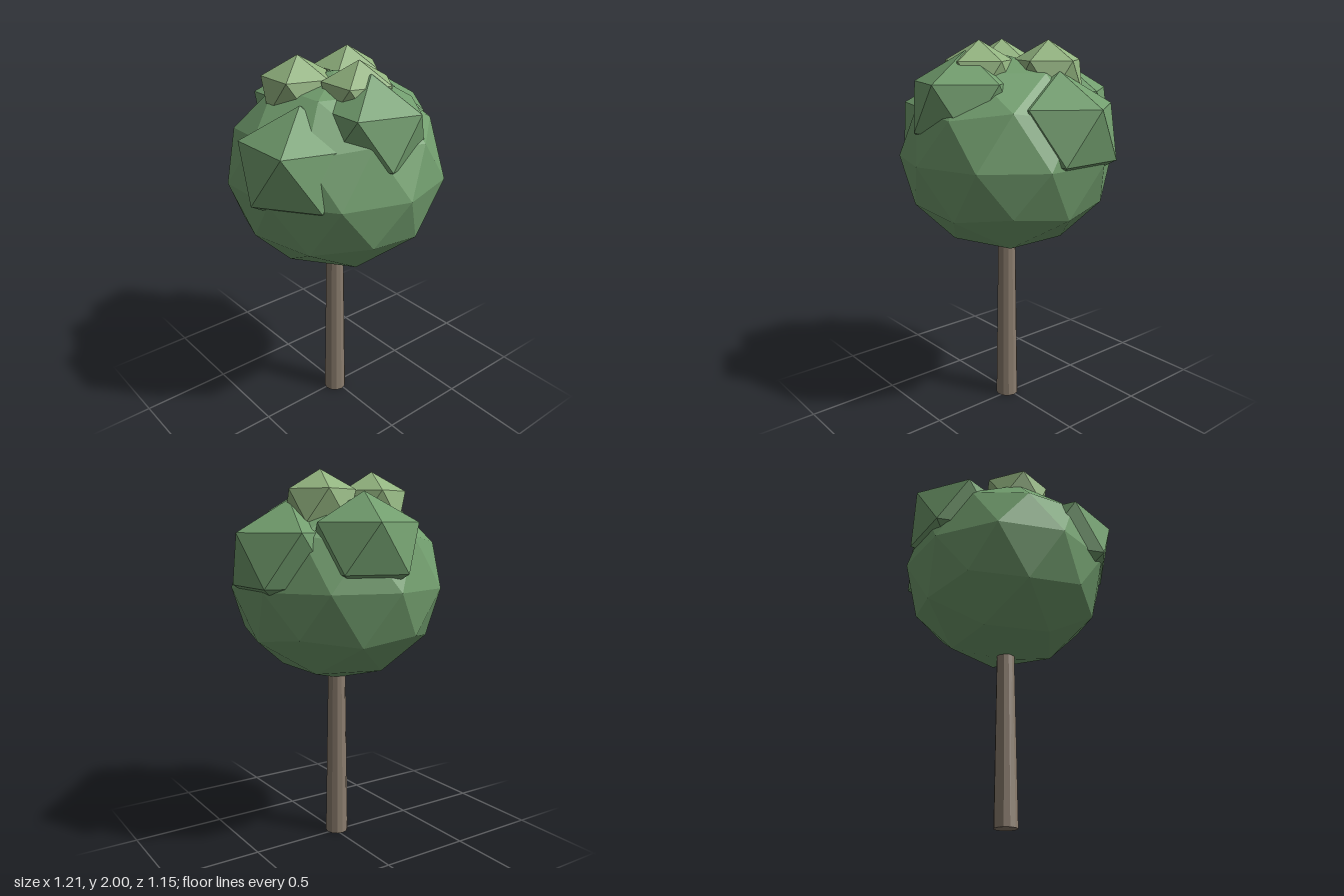
import * as THREE from 'three';

const FLATTEN = 0.9; // foliage is slightly squashed vertically

// Icosahedron standing on a point: two poles and two staggered rings of five
function uprightIcosphere(radius, detail) {
  const h = Math.sqrt(0.2), r = 2 * h;
  const verts = [0, 1, 0];
  for (const [y, offset] of [[h, 0], [-h, 0.5]]) {
    for (let k = 0; k < 5; k++) {
      const a = (k + offset) * Math.PI * 2 / 5;
      verts.push(r * Math.cos(a), y, r * Math.sin(a));
    }
  }
  verts.push(0, -1, 0);
  const faces = [];
  for (let k = 0; k < 5; k++) {
    const n = (k + 1) % 5;
    const u = 1 + k, uNext = 1 + n, l = 6 + k, lNext = 6 + n;
    faces.push(0, uNext, u, u, uNext, l, l, uNext, lNext, 11, l, lNext);
  }
  const geo = new THREE.PolyhedronGeometry(verts, faces, radius, detail);
  geo.scale(1, FLATTEN, 1);
  geo.computeVertexNormals();
  return geo;
}

export function createModel() {
  const tree = new THREE.Group();
  tree.name = 'tree';
  const material = (color) => new THREE.MeshStandardMaterial({ color, flatShading: true });
  const leaf = material(0x729e6e);
  const lightLeaf = material(0x93b480);
  const bark = material(0x8b7d6e);

  const add = (name, geometry, mat, x, y, z) => {
    const mesh = new THREE.Mesh(geometry, mat);
    mesh.name = name;
    mesh.position.set(x, y, z);
    tree.add(mesh);
  };

  // Tapered trunk, its top hidden inside the crown
  add('trunk', new THREE.CylinderGeometry(0.047, 0.062, 1, 12), bark, -0.015, 0.5, 0.01);

  // Main rounded crown
  add('crown', uprightIcosphere(0.567, 1), leaf, -0.015, 1.41, 0.01);

  // Large leaf clumps around the upper crown: name, radius, centre
  const clumps = [
    ['leftClump', 0.326, 0.312, 1.56, -0.055],
    ['rightClump', 0.326, -0.317, 1.53, 0.125],
    ['backClump', 0.3, 0.045, 1.62, -0.32],
    ['frontClump', 0.3, -0.015, 1.68, 0.275],
  ];
  for (const [name, r, x, y, z] of clumps) add(name, uprightIcosphere(r, 0), leaf, x, y, z);

  // Small pale tufts on top
  const tufts = [['topRightTuft', -0.17, -0.085], ['topLeftTuft', 0.165, -0.112], ['topFrontTuft', -0.015, 0.188]];
  for (const [name, x, z] of tufts) add(name, uprightIcosphere(0.2, 0), lightLeaf, x, 1.82, z);

  return tree;
}
